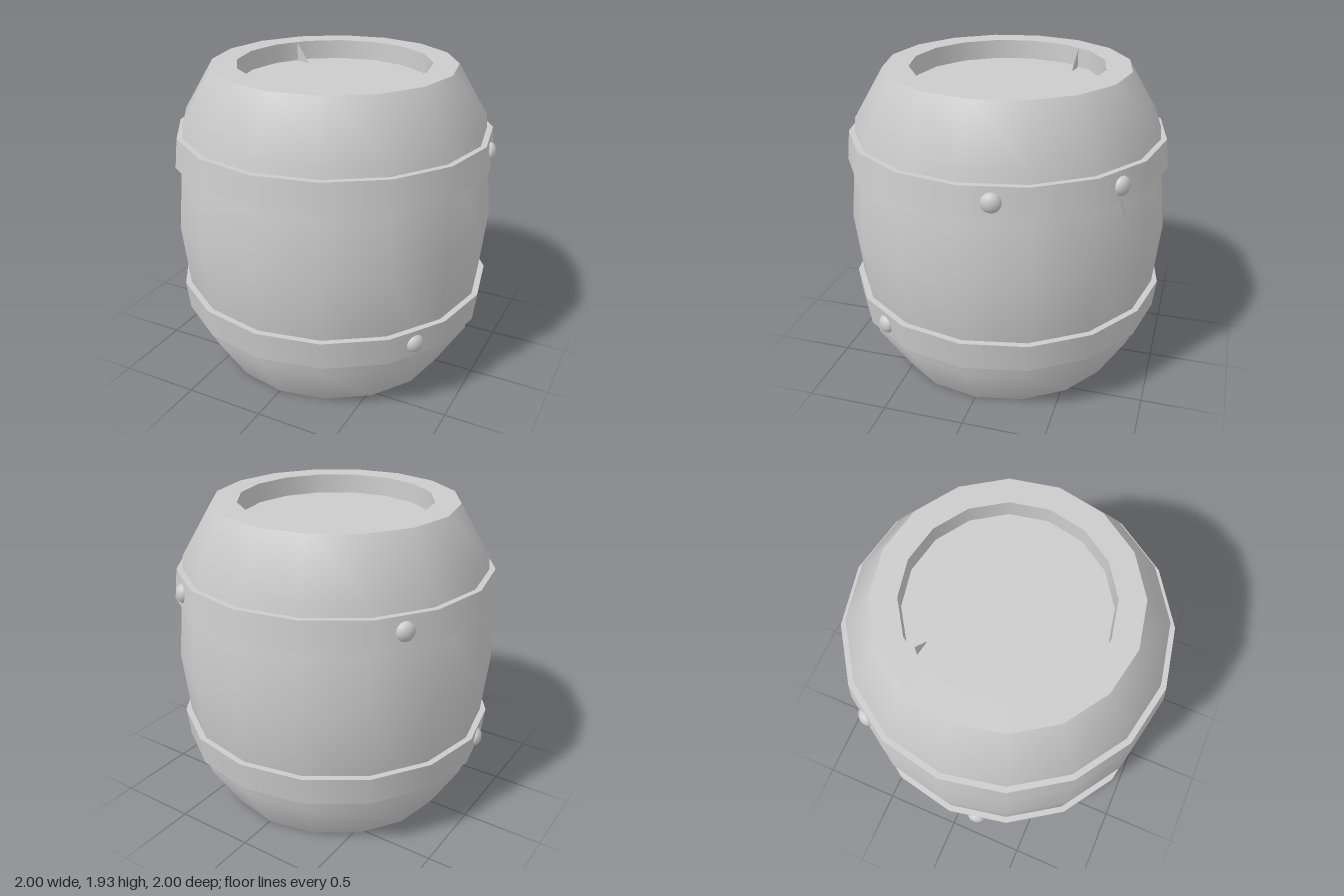
import * as THREE from 'three';

const SIDES = 16;
const grey = new THREE.MeshStandardMaterial({ color: 0xcccccc });
const greyDouble = new THREE.MeshStandardMaterial({ color: 0xcccccc, side: THREE.DoubleSide });

// One smooth turned strip through [radius, height] points
function turned(name, profile) {
  const points = profile.map(([r, y]) => new THREE.Vector2(r, y));
  const mesh = new THREE.Mesh(new THREE.LatheGeometry(points, SIDES), grey);
  mesh.name = name;
  return mesh;
}

// Hoop with a slightly tapered outer face and hard edges
function hoop(name, y0, r0, y1, r1) {
  const group = new THREE.Group();
  group.name = name;
  const inner = 0.92;
  group.add(
    turned('hoopFace', [[r0, y0], [r1, y1]]),
    turned('hoopTop', [[r1, y1], [inner, y1]]),
    turned('hoopBottom', [[inner, y0], [r0, y0]])
  );
  return group;
}

// Thin triangular wood splinter
function splinter(name, corners) {
  const geometry = new THREE.BufferGeometry();
  geometry.setAttribute('position', new THREE.Float32BufferAttribute(corners.flat(), 3));
  geometry.computeVertexNormals();
  const mesh = new THREE.Mesh(geometry, greyDouble);
  mesh.name = name;
  return mesh;
}

export function createModel() {
  const barrel = new THREE.Group();
  barrel.name = 'barrel';

  // Bulging staves, rim, recessed lid and base
  barrel.add(
    turned('staves', [[0.75, 0], [0.935, 0.31], [1, 0.965], [0.935, 1.62], [0.75, 1.93]]),
    turned('rim', [[0.75, 1.93], [0.595, 1.93]]),
    turned('recessWall', [[0.595, 1.93], [0.59, 1.81]]),
    turned('lid', [[0.59, 1.81], [0, 1.81]]),
    turned('base', [[0, 0], [0.75, 0]])
  );

  // Hoops
  barrel.add(
    hoop('lowerHoop', 0.39, 0.978, 0.57, 0.998),
    hoop('upperHoop', 1.36, 0.998, 1.54, 0.978)
  );

  // Domed rivets on the hoops: x, y, z
  const rivetShape = new THREE.SphereGeometry(0.058, 16, 12);
  const rivets = [
    [0.96, 1.45, -0.18], [0.55, 1.45, -0.80], [-0.80, 1.45, -0.54],
    [0.80, 0.48, 0.54], [-0.96, 0.48, 0.18]
  ];
  for (const [x, y, z] of rivets) {
    const rivet = new THREE.Mesh(rivetShape, grey);
    rivet.name = 'rivet';
    const angle = Math.atan2(x, z);
    rivet.position.set(0.965 * Math.sin(angle), y, 0.965 * Math.cos(angle));
    rivet.rotation.y = angle;
    rivet.scale.z = 0.7;
    barrel.add(rivet);
  }

  // Splinters on the lid and on the rear staves
  barrel.add(
    splinter('lidSplinter', [[-0.45, 1.93, -0.34], [-0.45, 1.8, -0.34], [-0.34, 1.79, -0.32]]),
    splinter('staveSplinter', [[0.565, 1.37, -0.79], [0.55, 1.37, -0.805], [0.475, 1.1, -0.855]])
  );
  return barrel;
}
